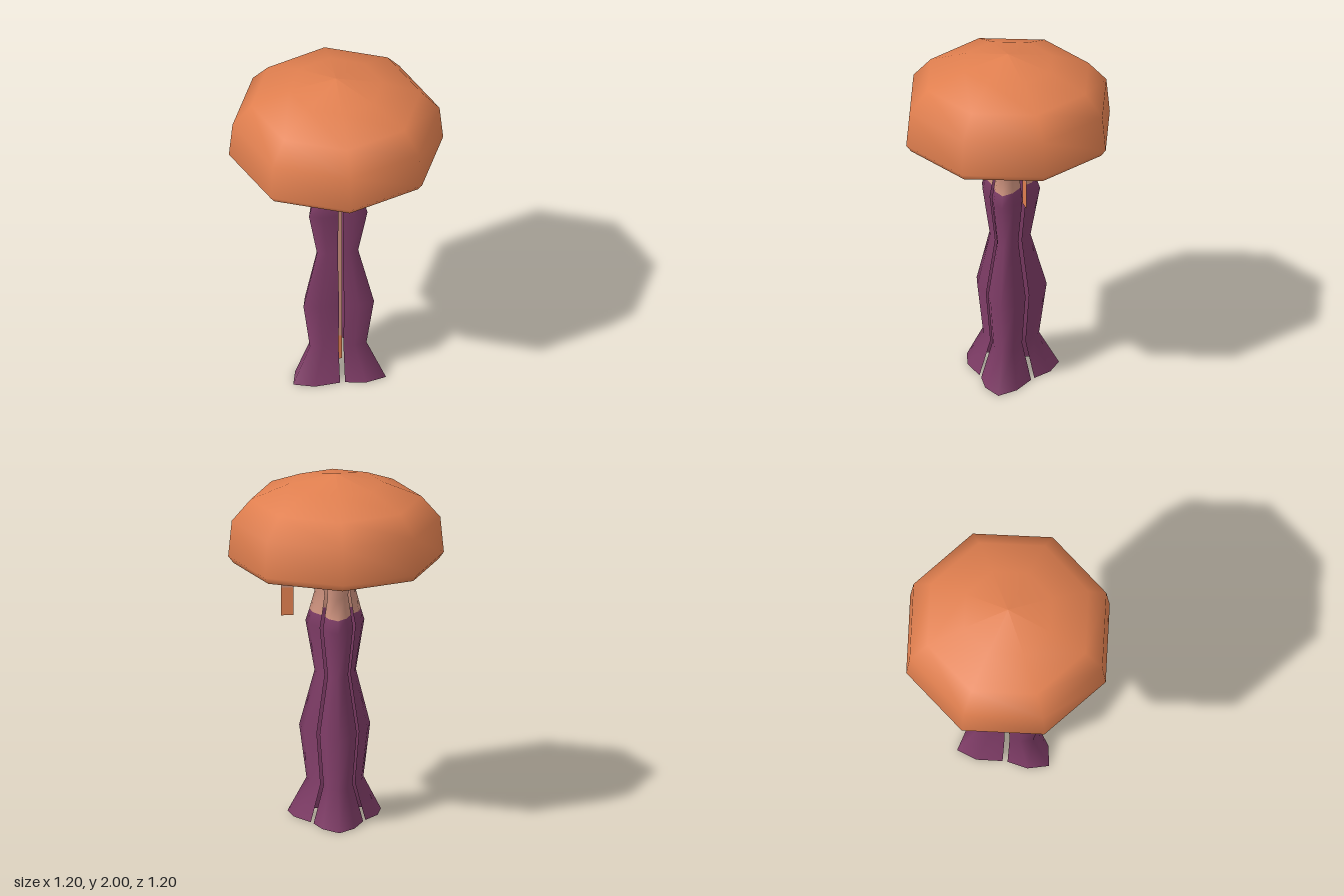
import * as THREE from 'three';

const mat = (name, color, side = THREE.FrontSide) => {
  const m = new THREE.MeshStandardMaterial({ color, side });
  m.name = name;
  return m;
};

export function createModel() {
  const group = new THREE.Group();
  const orange = mat('orange', 0xe07f4f);
  const tan = mat('tan', 0xdeba84);
  const tipOrange = mat('tip orange', 0xe07f4f, THREE.DoubleSide);
  const pink = mat('pink', 0xcc917d, THREE.DoubleSide);
  const purple = mat('purple', 0x7e3c66, THREE.DoubleSide);

  const add = (name, geometry, material) => {
    const mesh = new THREE.Mesh(geometry, material);
    mesh.name = name;
    group.add(mesh);
    return mesh;
  };

  // Eight-sided, smoothly shaded bell
  const bellProfile = [[0.57, 1.49], [0.6, 1.53], [0.58, 1.735], [0.475, 1.857], [0.26, 1.945], [0, 2]]
    .map(([r, y]) => new THREE.Vector2(r, y));
  add('bell', new THREE.LatheGeometry(bellProfile, 8), orange);

  // Flat underside with a pale round centre
  const down = (g, y) => g.rotateX(Math.PI / 2).translate(0, y, 0);
  add('bellUnderside', down(new THREE.CircleGeometry(0.57, 8), 1.49), orange);
  add('undersideDisc', down(new THREE.CircleGeometry(0.405, 48), 1.487), tan);

  // Three flared arms, each folded around a corner of a triangle: [height, corner radius]
  const rows = [[0, 0.3], [0.21, 0.183], [0.51, 0.228], [0.84, 0.133],
    [1.12, 0.189], [1.19, 0.166], [1.3, 0.133], [1.488, 0.175]];
  const colourRow = 5;
  const turn = ([x, z], a) => [x * Math.cos(a) + z * Math.sin(a), -x * Math.sin(a) + z * Math.cos(a)];
  const third = (Math.PI * 2) / 3;
  const section = (r) => [
    [0.028, 0.56 * r], [0.48 * r, 0.62 * r], [0.866 * r, 0.5 * r],
    turn([-0.48 * r, 0.62 * r], third), turn([0, 0.56 * r], third),
  ];
  const armGeometry = () => {
    const positions = [], index = [], n = 5;
    rows.forEach(([y, r]) => section(r).forEach(([x, z]) => positions.push(x, y, z)));
    for (let i = 0; i < rows.length - 1; i++) {
      for (let j = 0; j < n - 1; j++) {
        const a = i * n + j, b = a + 1, c = b + n, d = a + n;
        index.push(a, b, c, a, c, d);
      }
    }
    const g = new THREE.BufferGeometry();
    g.setAttribute('position', new THREE.Float32BufferAttribute(positions, 3));
    g.setIndex(index);
    g.computeVertexNormals();
    // Purple sleeve below, pink above
    const split = colourRow * (n - 1) * 6;
    g.addGroup(0, split, 0);
    g.addGroup(split, index.length - split, 1);
    return g;
  };
  const arm = armGeometry();
  for (let k = 0; k < 3; k++) {
    add('arm' + (k + 1), arm, [purple, pink]).rotation.y = k * third;
  }

  // Flat tentacles with orange tips
  const strip = (name, x, y0, y1, material) =>
    add(name, new THREE.PlaneGeometry(0.07, y1 - y0).translate(x, (y0 + y1) / 2, 0), material);
  const tentacle = (name, x, bottom) => {
    strip(name, x, bottom + 0.16, 1.488, pink);
    strip(name + 'Tip', x, bottom, bottom + 0.16, tipOrange);
  };
  tentacle('centreTentacle', 0, 0.04);
  tentacle('sideTentacle', 0.27, 1.18);

  return group;
}
